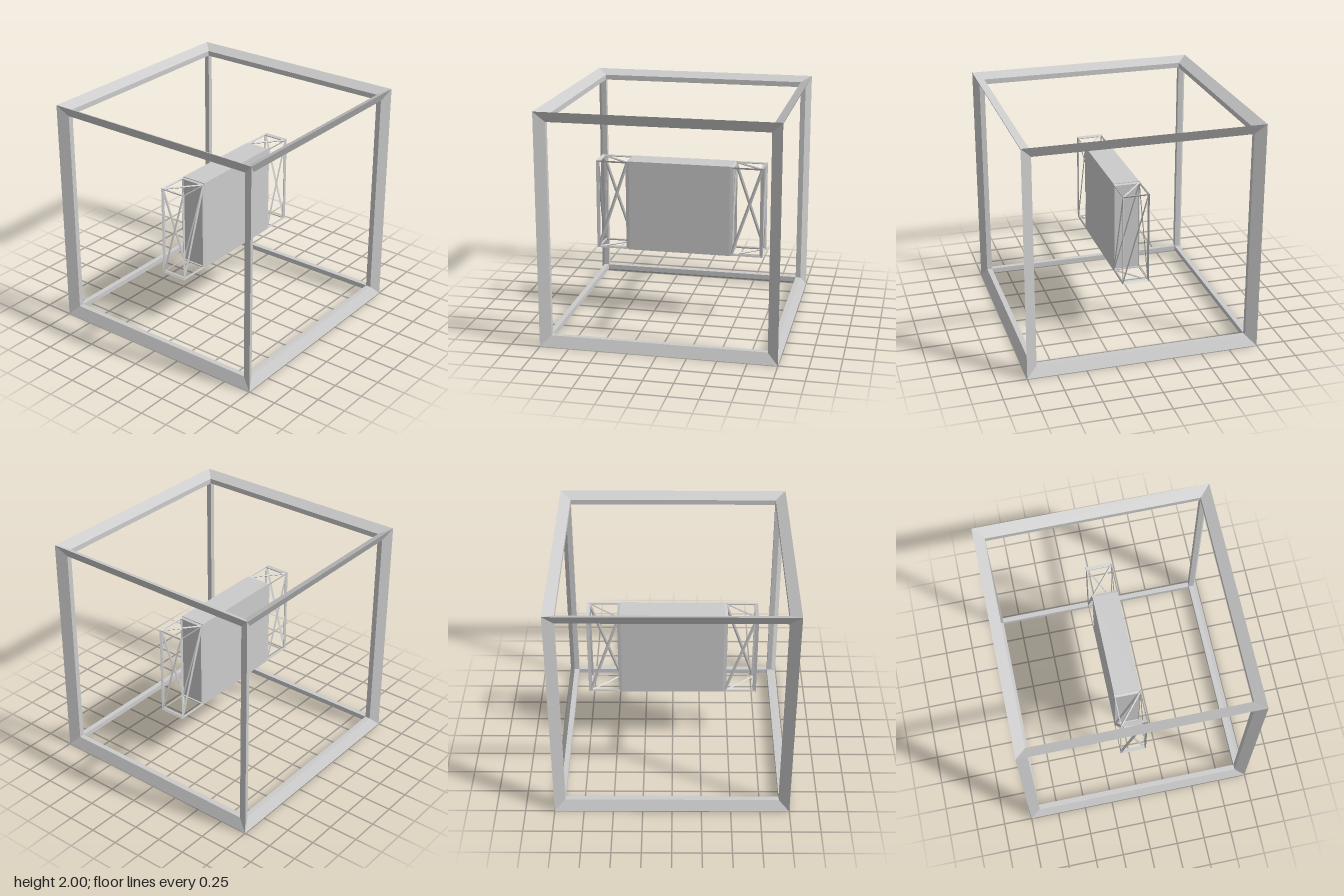
import * as THREE from 'three';
import { mergeGeometries } from 'three/addons/utils/BufferGeometryUtils.js';

const V = (x, y, z) => new THREE.Vector3(x, y, z);
const material = new THREE.MeshStandardMaterial({ color: 0xcccccc, flatShading: true });

// Open-ended bar joining two four-point rings, faces turned away from its axis
function bar(ringA, ringB) {
  const centre = V(0, 0, 0);
  [...ringA, ...ringB].forEach((p) => centre.addScaledVector(p, 1 / 8));
  const pos = [];
  for (let i = 0; i < 4; i++) {
    const j = (i + 1) % 4;
    const [a, b, c, d] = [ringA[i], ringA[j], ringB[j], ringB[i]];
    const mid = V(0, 0, 0).add(a).add(b).add(c).add(d).multiplyScalar(0.25);
    const normal = c.clone().sub(a).cross(d.clone().sub(b));
    const out = normal.dot(mid.sub(centre)) > 0;
    for (const p of out ? [a, b, c, a, c, d] : [a, c, b, a, d, c]) pos.push(p.x, p.y, p.z);
  }
  const g = new THREE.BufferGeometry();
  g.setAttribute('position', new THREE.Float32BufferAttribute(pos, 3));
  g.computeVertexNormals();
  return g;
}

// The twelve mitred kite-section edges of a box; half = outer half size, h = half thickness per axis
function frameBars(half, h) {
  const bars = [];
  for (let k = 0; k < 3; k++) {
    const i = (k + 1) % 3, j = (k + 2) % 3;
    for (const si of [-1, 1]) for (const sj of [-1, 1]) {
      const ring = (sk) => [[0, 0, 0], [1, 2, 2], [2, 2, 2], [2, 1, 2]].map(([di, dj, dk]) => {
        const p = V(0, 0, 0);
        [[i, si, di], [j, sj, dj], [k, sk, dk]].forEach(([axis, s, d]) =>
          p.setComponent(axis, s * (half.getComponent(axis) - d * h.getComponent(axis))));
        return p;
      });
      bars.push(bar(ring(-1), ring(1)));
    }
  }
  return bars;
}

// Diamond-section brace from a to b, spread along two offset vectors
function brace(a, b, u, v) {
  const ring = (p) => [p.clone().add(u), p.clone().add(v), p.clone().sub(u), p.clone().sub(v)];
  return bar(ring(a), ring(b));
}

function mesh(name, geometry) {
  const m = new THREE.Mesh(geometry, material);
  m.name = name;
  return m;
}

// Braced side cage, outer end towards +x
function sideCage(name) {
  const half = V(0.146, 0.395, 0.113), h = V(0.0145, 0.008, 0.004);
  const c = half.clone().sub(h);
  const ux = V(h.x, 0, 0), uy = V(0, h.y, 0), uz = V(0, 0, h.z);
  const bars = frameBars(half, h);
  for (const s of [-1, 1]) {
    // front and back
    bars.push(brace(V(-s * c.x, -c.y, s * c.z), V(s * c.x, c.y, s * c.z), ux, uz));
    // top and bottom
    bars.push(brace(V(-c.x, s * c.y, -s * c.z), V(c.x, s * c.y, s * c.z), ux, uy));
    // outer and inner end
    bars.push(brace(V(s * c.x, -c.y, c.z), V(s * c.x, c.y, -c.z), ux, uz));
  }
  return mesh(name, mergeGeometries(bars));
}

export function createModel() {
  const model = new THREE.Group();

  // Large outer cube frame
  const frame = mesh('outerFrame', mergeGeometries(frameBars(V(1, 1, 1), V(0.045, 0.045, 0.045))));
  frame.position.y = 1;
  model.add(frame);

  // Solid block in the middle
  const block = mesh('centreBlock', new THREE.BoxGeometry(0.9, 0.797, 0.222));
  block.position.y = 1.0015;
  model.add(block);

  // Matching cages, one turned half round
  for (const s of [1, -1]) {
    const cage = sideCage(s > 0 ? 'leftCage' : 'rightCage');
    cage.position.set(s * 0.589, 1.0015, 0);
    if (s < 0) cage.rotation.y = Math.PI;
    model.add(cage);
  }
  return model;
}
